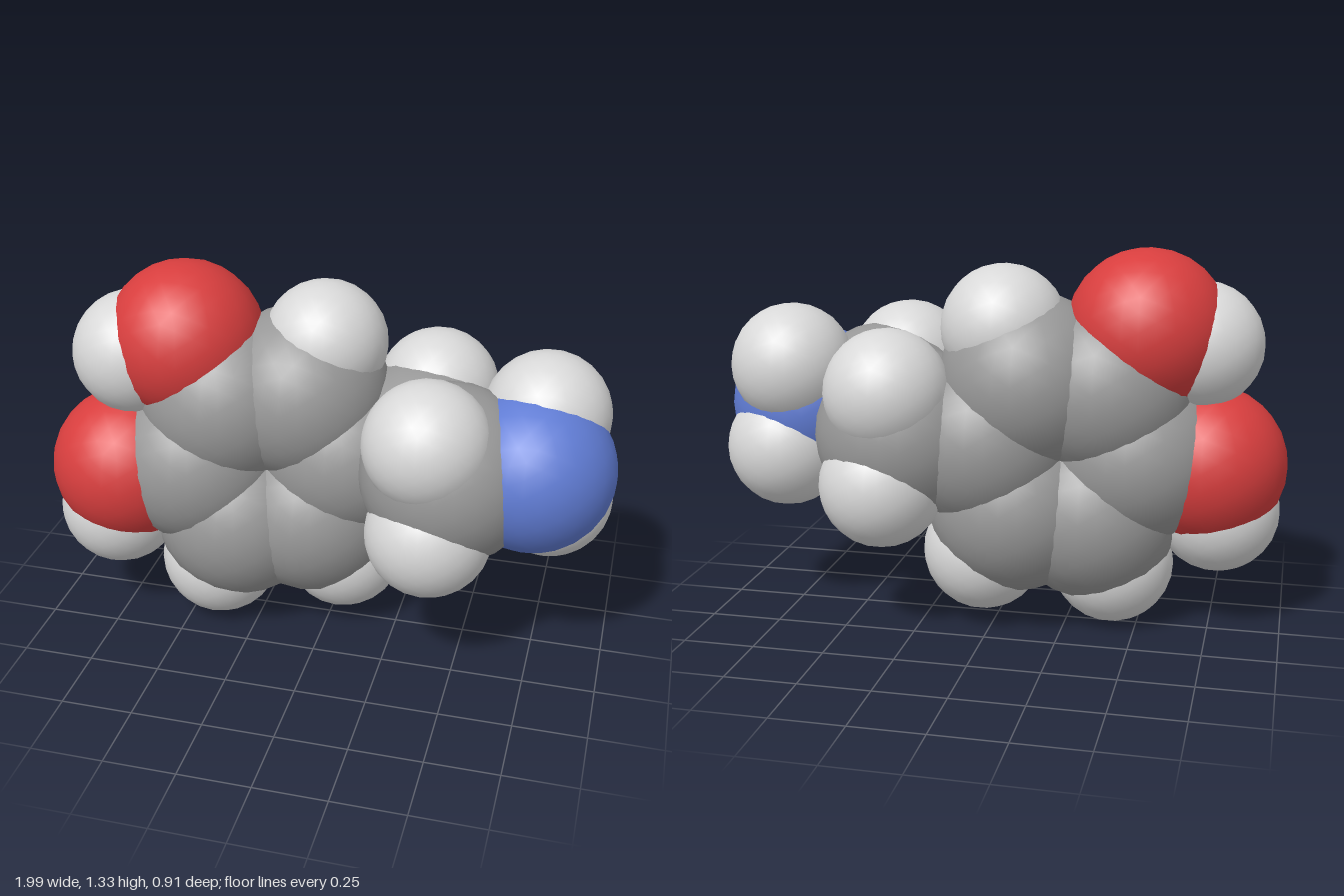
import * as THREE from 'three';

export function createModel() {
  const model = new THREE.Group();
  model.name = 'spaceFillingMolecule';

  // One colour and radius for each kind of ball
  const kind = (name, color, radius) => {
    const material = new THREE.MeshStandardMaterial({ color });
    material.name = name;
    return { material, geometry: new THREE.IcosahedronGeometry(radius, 4) };
  };
  const carbon = kind('grey', 0x989898, 0.309);
  const hydrogen = kind('lightGrey', 0xd8d8d8, 0.217);
  const oxygen = kind('red', 0xd83e3e, 0.277);
  const nitrogen = kind('blue', 0x607cd4, 0.282);

  const atom = (parent, name, { geometry, material }, x, y, z) => {
    const mesh = new THREE.Mesh(geometry, material);
    mesh.name = name;
    mesh.position.set(x, y, z);
    parent.add(mesh);
  };
  const part = (name) => {
    const group = new THREE.Group();
    group.name = name;
    model.add(group);
    return group;
  };

  // Six-carbon ring, slightly tilted about the upright axis
  const ring = part('carbonRing');
  for (let i = 0; i < 6; i++) {
    const a = THREE.MathUtils.degToRad(5.5 + i * 60);
    const dx = 0.26 * Math.cos(a), dy = 0.26 * Math.sin(a);
    atom(ring, `ringCarbon${i + 1}`, carbon, -0.222 + dx, 0.643 + dy, -0.02 - 0.185 * dx - 0.057 * dy);
  }
  atom(ring, 'upperRingHydrogen', hydrogen, -0.035, 1.065, -0.075);
  atom(ring, 'lowerOuterRingHydrogen', hydrogen, -0.405, 0.219, 0.035);
  atom(ring, 'lowerInnerRingHydrogen', hydrogen, 0.04, 0.263, -0.05);

  // Two hydroxyl groups on the far end of the ring
  const hydroxyls = part('hydroxylGroups');
  atom(hydroxyls, 'upperOxygen', oxygen, -0.513, 1.06, 0.008);
  atom(hydroxyls, 'upperHydroxylHydrogen', hydrogen, -0.69, 1.01, 0.045);
  atom(hydroxyls, 'lowerOxygen', oxygen, -0.724, 0.585, 0.075);
  atom(hydroxyls, 'lowerHydroxylHydrogen', hydrogen, -0.765, 0.416, 0.09);

  // Two-carbon chain with a pair of hydrogens on each carbon
  const chain = part('carbonChain');
  atom(chain, 'backChainCarbon', carbon, 0.31, 0.69, -0.12);
  atom(chain, 'frontChainCarbon', carbon, 0.445, 0.72, 0.12);
  atom(chain, 'backUpperHydrogen', hydrogen, 0.335, 0.857, -0.238);
  atom(chain, 'backLowerHydrogen', hydrogen, 0.36, 0.53, -0.236);
  atom(chain, 'frontUpperHydrogen', hydrogen, 0.385, 0.877, 0.238);
  atom(chain, 'frontLowerHydrogen', hydrogen, 0.4, 0.545, 0.238);

  // Amine end
  const amine = part('amineGroup');
  atom(amine, 'nitrogenAtom', nitrogen, 0.715, 0.742, 0.068);
  atom(amine, 'upperAmineHydrogen', hydrogen, 0.74, 0.898, -0.045);
  atom(amine, 'lowerAmineHydrogen', hydrogen, 0.77, 0.597, -0.038);

  return model;
}
